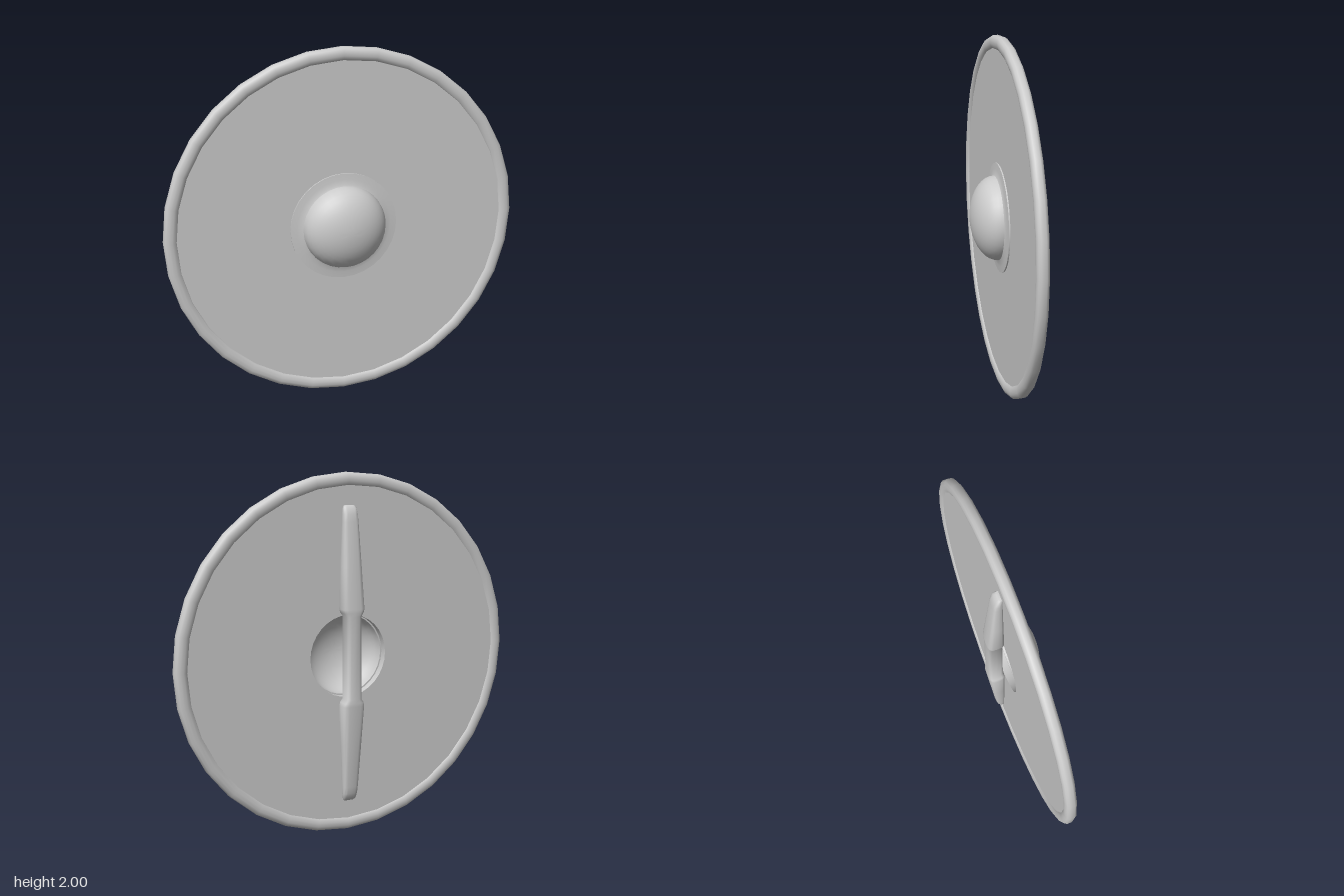
import * as THREE from 'three';
import { mergeVertices, toCreasedNormals } from 'three/addons/utils/BufferGeometryUtils.js';

const material = new THREE.MeshStandardMaterial({ color: 0xcccccc });
const CENTRE_Y = 1;

// Revolve a [radius, z] profile about the shield's front-to-back axis.
function disc(name, profile, crease = 0.7) {
  const points = profile.map(([r, z]) => new THREE.Vector2(r, z));
  const geometry = new THREE.LatheGeometry(points, 32).rotateX(Math.PI / 2);
  const mesh = new THREE.Mesh(toCreasedNormals(geometry, crease), material);
  mesh.name = name;
  mesh.position.y = CENTRE_Y;
  return mesh;
}

// Loft rounded cross-sections along y: [y, halfWidth, zFront, zBack].
function loftedBar(sections, sides = 20) {
  const positions = [], index = [];
  const power = (v) => Math.sign(v) * Math.abs(v) ** 0.55;
  for (const [y, w, zFront, zBack] of sections) {
    for (let i = 0; i < sides; i++) {
      const a = (i / sides) * Math.PI * 2;
      const mid = (zFront + zBack) / 2, depth = (zFront - zBack) / 2;
      positions.push(w * power(Math.sin(a)), y, mid + depth * power(Math.cos(a)));
    }
  }
  for (let s = 0; s < sections.length - 1; s++) {
    for (let i = 0; i < sides; i++) {
      const a = s * sides + i, b = s * sides + ((i + 1) % sides);
      index.push(a, b, b + sides, a, b + sides, a + sides);
    }
  }
  // End caps
  const last = (sections.length - 1) * sides;
  for (let i = 1; i < sides - 1; i++) {
    index.push(0, i + 1, i, last, last + i, last + i + 1);
  }
  const geometry = new THREE.BufferGeometry();
  geometry.setAttribute('position', new THREE.Float32BufferAttribute(positions, 3));
  geometry.setIndex(index);
  return toCreasedNormals(mergeVertices(geometry), 0.8);
}

export function createModel() {
  const shield = new THREE.Group();
  shield.name = 'roundShield';

  // Flat board with a central hand hole
  shield.add(disc('board', [
    [0.23, -0.055], [0.95, -0.055], [0.95, -0.013], [0.23, -0.013], [0.23, -0.055],
  ]));

  // Rounded binding around the edge
  shield.add(disc('rim', [
    [0.925, -0.045], [0.935, -0.058], [0.955, -0.065], [0.975, -0.065], [0.992, -0.058],
    [1, -0.046], [1, -0.019], [0.992, -0.007], [0.975, 0], [0.955, 0],
    [0.935, -0.007], [0.925, -0.02], [0.925, -0.045],
  ], 0.9));

  // Hollow domed boss with a flange: inner skin outward, then outer skin to the apex
  const dome = (r, h, z0, steps = 10) => Array.from({ length: steps + 1 }, (_, i) => {
    const a = (i / steps) * Math.PI / 2;
    return [i === steps ? 0 : r * Math.cos(a), z0 + h * Math.sin(a)];
  });
  shield.add(disc('boss', [
    ...dome(0.222, 0.145, -0.013).reverse(),
    [0.305, -0.014], [0.305, -0.006], [0.27, -0.003], [0.245, 0.001],
    ...dome(0.235, 0.142, 0.005),
  ]));

  // Handle: two tapering wings joined by a narrower grip across the hole
  const half = [
    [0.23, 0.046, -0.055, -0.143],
    [0.25, 0.06, -0.05, -0.145],
    [0.27, 0.066, -0.05, -0.144],
    [0.5, 0.056, -0.05, -0.124],
    [0.74, 0.044, -0.05, -0.103],
    [0.78, 0.042, -0.05, -0.096],
    [0.81, 0.038, -0.05, -0.085],
    [0.825, 0.03, -0.05, -0.07],
  ];
  const sections = [
    ...half.map(([y, ...rest]) => [-y, ...rest]).reverse(),
    ...half,
  ];
  const handle = new THREE.Mesh(loftedBar(sections), material);
  handle.name = 'handle';
  handle.position.y = CENTRE_Y;
  shield.add(handle);

  return shield;
}
